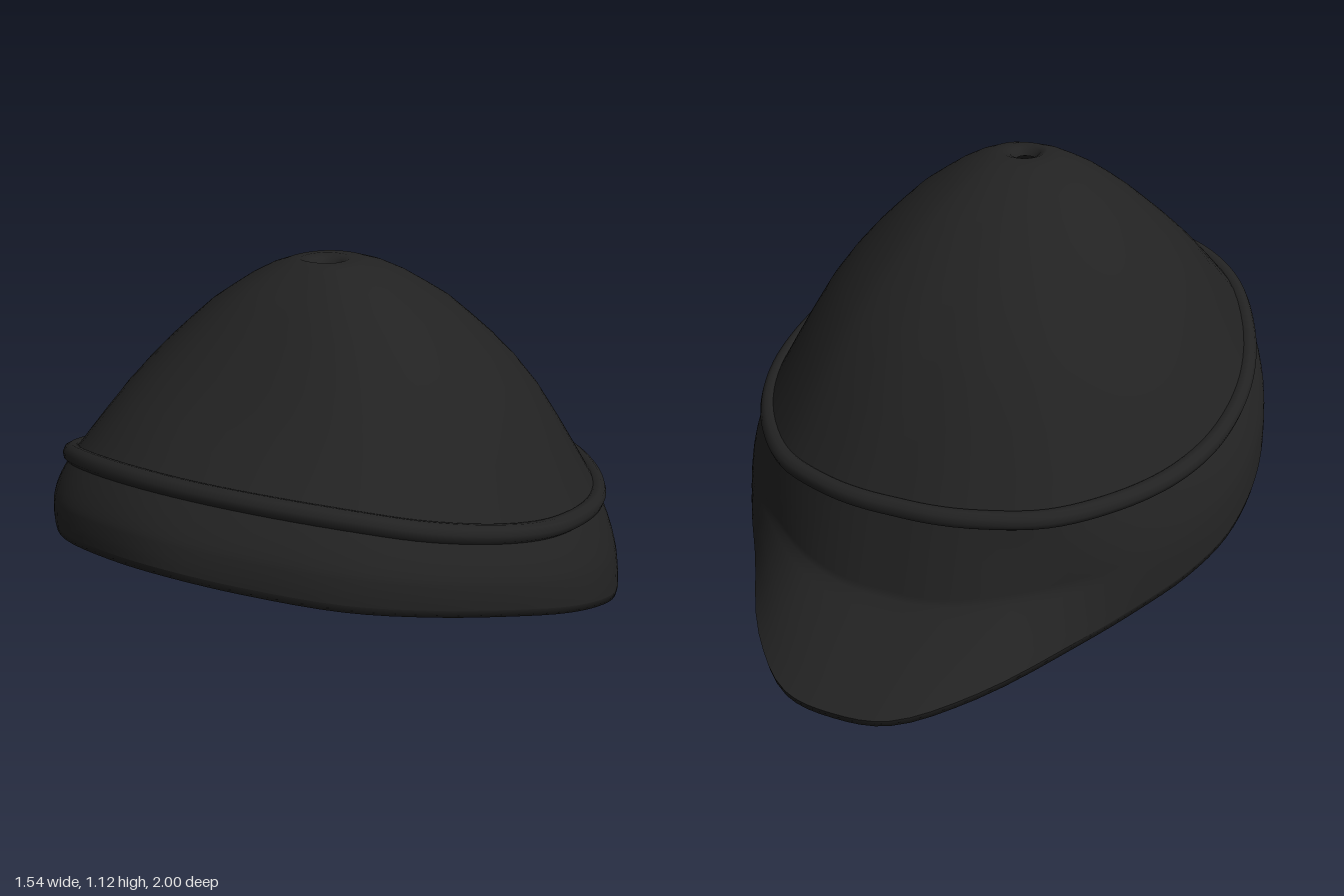
import * as THREE from 'three';

const N = 104; // points around each ring
const AXIS_Z = 0.26; // crown hole position

// Half outlines from front to back: [x, y, z]
const EDGE = [
  [0, 0.505, 1], [0.2, 0.49, 0.965], [0.42, 0.46, 0.875], [0.57, 0.42, 0.73], [0.69, 0.35, 0.5],
  [0.75, 0.285, 0.3], [0.77, 0.23, 0.12], [0.75, 0.175, -0.06], [0.69, 0.135, -0.23], [0.6, 0.1, -0.39],
  [0.5, 0.065, -0.54], [0.32, 0.03, -0.82], [0.15, 0.005, -0.975], [0, 0, -1],
];
const RIDGE = [
  [0, 0.69, 0.895], [0.2, 0.685, 0.875], [0.4, 0.66, 0.8], [0.53, 0.62, 0.69], [0.63, 0.56, 0.5],
  [0.68, 0.51, 0.31], [0.692, 0.475, 0.12], [0.67, 0.447, -0.06], [0.61, 0.427, -0.23], [0.51, 0.417, -0.39],
  [0.38, 0.412, -0.52], [0.21, 0.412, -0.595], [0.1, 0.412, -0.617], [0, 0.412, -0.62],
];
// How strongly each station bends at the knee of the rear flap
const FLAP = [0, 0, 0, 0, 0, 0, 0, 0, 0, 0.05, 0.25, 0.65, 0.95, 1];

// Crown drop against radius: steep front, rounder sides and back
const FRONT = [[0, 0], [0.12, 0.02], [0.33, 0.2], [0.55, 0.48], [0.71, 0.68], [0.94, 0.93], [1, 1]];
const BACK = [[0, 0], [0.18, 0.03], [0.3, 0.1], [0.45, 0.21], [0.6, 0.36], [0.75, 0.54], [0.88, 0.77], [1, 1]];

function sample(table, s) {
  const i = Math.max(1, table.findIndex((p) => p[0] >= s));
  const [a, b] = [table[i - 1], table[i]];
  return a[1] + ((b[1] - a[1]) * (s - a[0])) / (b[0] - a[0]);
}

// Mirror a half outline into a closed curve
function closedCurve(half) {
  const right = half.slice(1, -1).reverse().map(([x, y, z]) => [-x, y, z]);
  return new THREE.CatmullRomCurve3([...half, ...right].map((p) => new THREE.Vector3(...p)), true);
}

const ringOf = (half) => {
  const curve = closedCurve(half);
  return Array.from({ length: N }, (_, i) => curve.getPoint(i / N));
};

// Ring on the crown at radius fraction s
function crownRing(ridge, s, dip = 0) {
  return ridge.map((p) => {
    const dz = p.z - AXIS_Z;
    const w = Math.max(0, dz / Math.hypot(p.x, dz)) ** 2;
    const drop = sample(FRONT, s) * w + sample(BACK, s) * (1 - w);
    return new THREE.Vector3(p.x * s, 1.13 + (p.y - 1.13) * drop - dip, AXIS_Z + dz * s);
  });
}

// Ring on the brim at fraction t from ridge to edge
function brimRing(t) {
  const pull = 0.15 * Math.min(t / 0.6, (1 - t) / 0.4);
  const bulge = 1 + 0.025 * Math.sin(Math.PI * t);
  return ringOf(RIDGE.map((r, k) => {
    const e = EDGE[k];
    const p = r.map((v, j) => v + (e[j] - v) * t);
    const b = 1 + (bulge - 1) * (1 - FLAP[k]);
    return [p[0] * b, p[1] + 0.02 * t, p[2] * b + pull * FLAP[k]];
  }));
}

// Inner copy of a ring
const inset = (ring, scale, down) => ring.map((p) =>
  new THREE.Vector3(p.x * scale, p.y - down, AXIS_Z + (p.z - AXIS_Z) * scale));

// Skin closed rings, ordered top to bottom on outward surfaces
function loft(rings) {
  const index = [];
  for (let r = 0; r < rings.length - 1; r++) {
    for (let i = 0; i < N; i++) {
      const j = (i + 1) % N;
      const a = r * N + i, b = r * N + j, c = a + N, d = b + N;
      index.push(a, c, b, b, c, d);
    }
  }
  const geometry = new THREE.BufferGeometry().setFromPoints(rings.flat());
  geometry.setIndex(index);
  geometry.computeVertexNormals();
  return geometry;
}

export function createModel() {
  const group = new THREE.Group();
  const black = new THREE.MeshStandardMaterial({ color: 0x222222 });
  black.name = 'charcoal';
  const add = (name, geometry) => {
    const mesh = new THREE.Mesh(geometry, black);
    mesh.name = name;
    group.add(mesh);
  };

  const ridge = ringOf(RIDGE);

  // Domed crown with a dimpled hole at the top
  const crown = [crownRing(ridge, 0.045, 0.035), crownRing(ridge, 0.06, 0.012)];
  for (const s of [0.09, 0.15, 0.22, 0.3, 0.38, 0.46, 0.54, 0.62, 0.7, 0.78, 0.86, 0.93, 1]) {
    crown.push(crownRing(ridge, s));
  }
  add('crown', loft(crown));

  // Sloping brim drawn out into a rear flap
  const brim = [0, 0.15, 0.3, 0.45, 0.55, 0.6, 0.65, 0.8, 0.92, 1].map(brimRing);
  add('brim', loft(brim));

  // Rolled bead between crown and brim
  add('bead', new THREE.TubeGeometry(closedCurve(RIDGE), 140, 0.026, 10, true));

  // Lip, inner wall and inner dome, up to the hole
  const edge = brim[brim.length - 1];
  const lining = [
    edge,
    inset(edge, 0.995, 0.02),
    ...brim.slice(0, -1).reverse().map((ring) => inset(ring, 0.97, 0.012)),
    ...crown.slice(1, -1).reverse().map((ring) => inset(ring, 0.97, 0.025)),
    crown[0],
  ];
  add('lining', loft(lining));

  return group;
}
